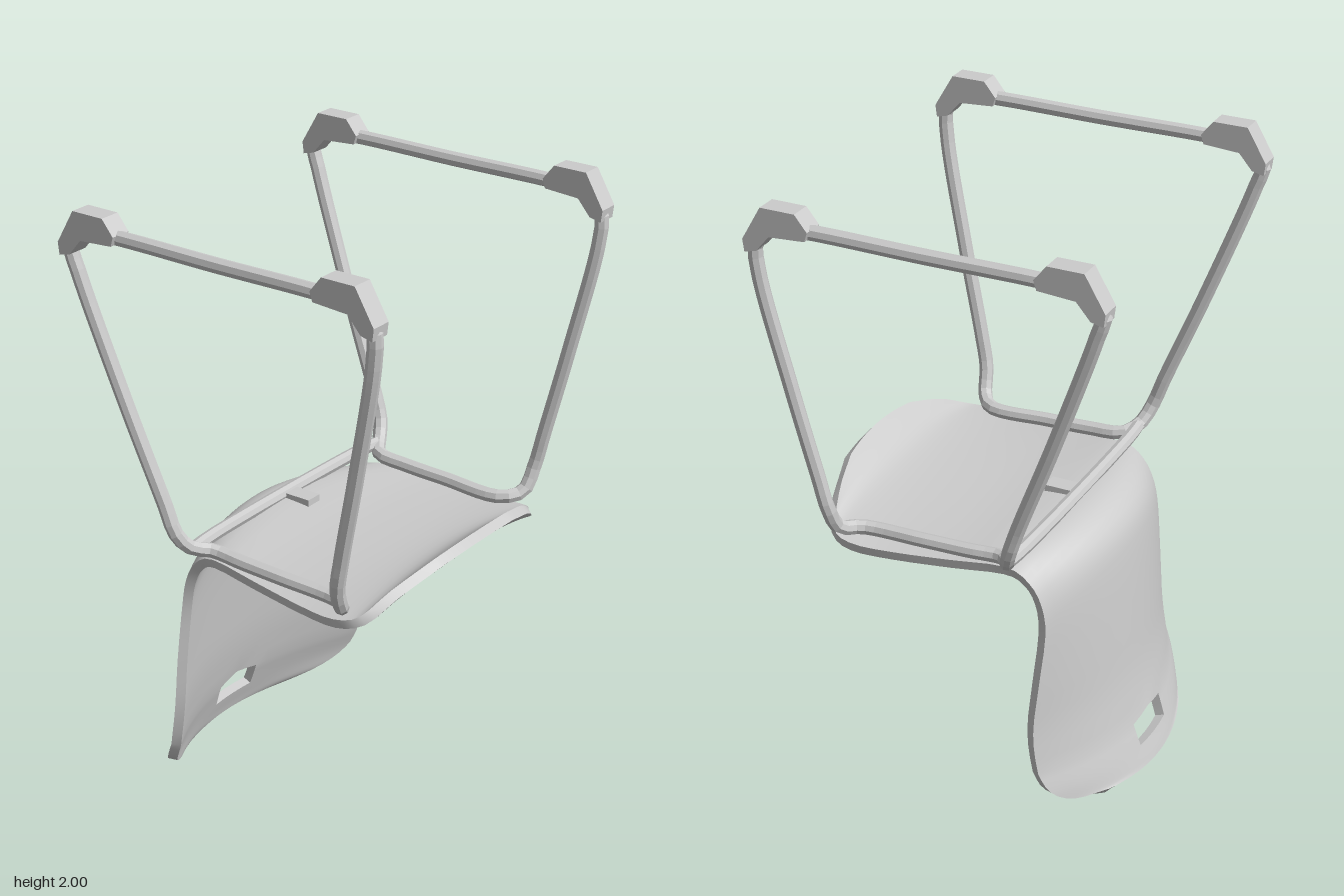
import * as THREE from 'three';
import { toCreasedNormals } from 'three/addons/utils/BufferGeometryUtils.js';

const smooth = new THREE.MeshStandardMaterial({ color: 0xcccccc });
const faceted = new THREE.MeshStandardMaterial({ color: 0xcccccc, flatShading: true });
const V = (x, y, z) => new THREE.Vector3(x, y, z);

function add(parent, name, geometry, material) {
  const mesh = new THREE.Mesh(geometry, material);
  mesh.name = name;
  parent.add(mesh);
  return mesh;
}

// Shell cross-sections: [centre z, centre y, edge z, edge y, half width]
const SECTIONS = [
  [0.522, 0.982, 0.51, 0.968, 0.2],
  [0.49, 0.955, 0.465, 0.915, 0.36],
  [0.43, 0.915, 0.42, 0.855, 0.46],
  [0.35, 0.895, 0.34, 0.835, 0.495],
  [0.2, 0.885, 0.2, 0.83, 0.48],
  [0, 0.885, 0, 0.84, 0.455],
  [-0.2, 0.9, -0.17, 0.855, 0.44],
  [-0.3, 0.885, -0.24, 0.82, 0.43],
  [-0.36, 0.83, -0.28, 0.75, 0.425],
  [-0.385, 0.72, -0.295, 0.65, 0.43],
  [-0.41, 0.5, -0.29, 0.48, 0.465],
  [-0.43, 0.32, -0.285, 0.32, 0.49],
  [-0.46, 0.165, -0.305, 0.18, 0.492],
  [-0.485, 0.08, -0.34, 0.1, 0.472],
  [-0.5, 0.035, -0.39, 0.045, 0.4],
  [-0.508, 0.008, -0.46, 0.014, 0.28],
];

// One-piece seat and backrest with a grip hole
function shellGeometry() {
  const SUB = 3, COLS = 20, HALF = 0.016;
  const rows = (SECTIONS.length - 1) * SUB;
  const centre = new THREE.CatmullRomCurve3(SECTIONS.map(s => V(s[4], s[1], s[0])), false, 'catmullrom', 0.5);
  const edge = new THREE.CatmullRomCurve3(SECTIONS.map(s => V(s[4], s[3], s[2])), false, 'catmullrom', 0.5);
  const holeTop = 12 * SUB, holeBottom = 13 * SUB;

  const mid = [];
  for (let i = 0; i <= rows; i++) {
    const c = centre.getPoint(i / rows), e = edge.getPoint(i / rows);
    mid.push([]);
    for (let j = 0; j <= COLS; j++) {
      const t = -1 + 2 * j / COLS;
      const p = c.clone().lerp(e, t * t);
      p.x = t * c.x;
      // peaked upper rim of the grip hole
      if (i === holeTop) p.y += 0.018 * Math.max(0, 1 - Math.abs(t) / 0.2) - 0.008;
      mid[i].push(p);
    }
  }

  // thicken the surface to both sides along its normal
  const side = sign => mid.map((row, i) => row.map((p, j) => {
    const across = mid[i][Math.min(j + 1, COLS)].clone().sub(mid[i][Math.max(j - 1, 0)]);
    const along = mid[Math.min(i + 1, rows)][j].clone().sub(mid[Math.max(i - 1, 0)][j]);
    return p.clone().addScaledVector(across.cross(along).normalize(), sign * HALF);
  }));
  const outer = side(1), inner = side(-1);

  const solid = (i, j) => i >= 0 && i < rows && j >= 0 && j < COLS &&
    !(i >= holeTop && i < holeBottom && j >= 8 && j < 12);
  const pos = [];
  const quad = (a, b, c, d) => [a, b, c, a, c, d].forEach(p => pos.push(p.x, p.y, p.z));
  for (let i = 0; i < rows; i++) for (let j = 0; j < COLS; j++) {
    if (!solid(i, j)) continue;
    const k = [[i, j], [i, j + 1], [i + 1, j + 1], [i + 1, j]];
    const o = k.map(([r, c]) => outer[r][c]), n = k.map(([r, c]) => inner[r][c]);
    quad(...o);
    quad(n[3], n[2], n[1], n[0]);
    // rim walls round the border and the hole
    [[-1, 0], [0, 1], [1, 0], [0, -1]].forEach(([di, dj], m) => {
      const q = (m + 1) % 4;
      if (!solid(i + di, j + dj)) quad(o[m], n[m], n[q], o[q]);
    });
  }
  const geo = new THREE.BufferGeometry();
  geo.setAttribute('position', new THREE.Float32BufferAttribute(pos, 3));
  return toCreasedNormals(geo, 0.7);
}

// Closed loop: seat rail, front leg, floor runner and back leg
function legLoop(s) {
  const points = [
    [0.44, 0.89, 0.1], [0.445, 0.885, 0.32], [0.5, 0.9, 0.37], [0.54, 0.98, 0.385],
    [0.552, 1.1, 0.41], [0.572, 1.4, 0.478], [0.597, 1.78, 0.555], [0.6, 1.87, 0.555],
    [0.6, 1.925, 0.5], [0.6, 1.935, 0.42], [0.6, 1.935, 0], [0.6, 1.935, -0.42],
    [0.6, 1.925, -0.5], [0.6, 1.875, -0.56], [0.597, 1.8, -0.54], [0.572, 1.4, -0.395],
    [0.55, 1.08, -0.27], [0.54, 0.98, -0.235], [0.5, 0.925, -0.21], [0.445, 0.905, -0.17],
    [0.44, 0.895, -0.05],
  ].map(([x, y, z]) => V(s * x, y, z));
  const curve = new THREE.CatmullRomCurve3(points, true, 'centripetal');
  return new THREE.TubeGeometry(curve, 110, 0.024, 8, true);
}

// Angular foot cap, drawn in the z-y plane
function footCap(x, f) {
  const outline = [[0.36, 1.95], [0.4, 2], [0.515, 2], [0.58, 1.89], [0.575, 1.85], [0.535, 1.86], [0.49, 1.912], [0.37, 1.92]];
  const shape = new THREE.Shape(outline.map(([z, y]) => new THREE.Vector2(f * z, y)));
  const geo = new THREE.ExtrudeGeometry(shape, { depth: 0.07, bevelEnabled: false });
  return geo.translate(0, 0, -0.035).rotateY(-Math.PI / 2).translate(x, 0, 0);
}

export function createModel() {
  const chair = new THREE.Group();
  chair.name = 'upturnedChair';
  add(chair, 'seatShell', shellGeometry(), smooth);

  const frame = new THREE.Group();
  frame.name = 'frame';
  chair.add(frame);
  for (const s of [-1, 1]) {
    const label = s > 0 ? 'left' : 'right';
    add(frame, label + 'LegLoop', legLoop(s), faceted);
    for (const f of [-1, 1])
      add(frame, label + (f > 0 ? 'FrontFoot' : 'BackFoot'), footCap(s * 0.6, f), faceted);
  }

  // Rear cross bar under the seat
  const bar = new THREE.CatmullRomCurve3([V(-0.5, 0.92, -0.205), V(-0.4, 0.922, -0.215), V(0.4, 0.922, -0.215), V(0.5, 0.92, -0.205)]);
  add(frame, 'crossBar', new THREE.TubeGeometry(bar, 16, 0.022, 8), faceted);

  // Mounting tab joining the bar to the seat
  add(frame, 'mountingTab', new THREE.BoxGeometry(0.06, 0.03, 0.1), faceted).position.set(0, 0.917, -0.16);
  return chair;
}
